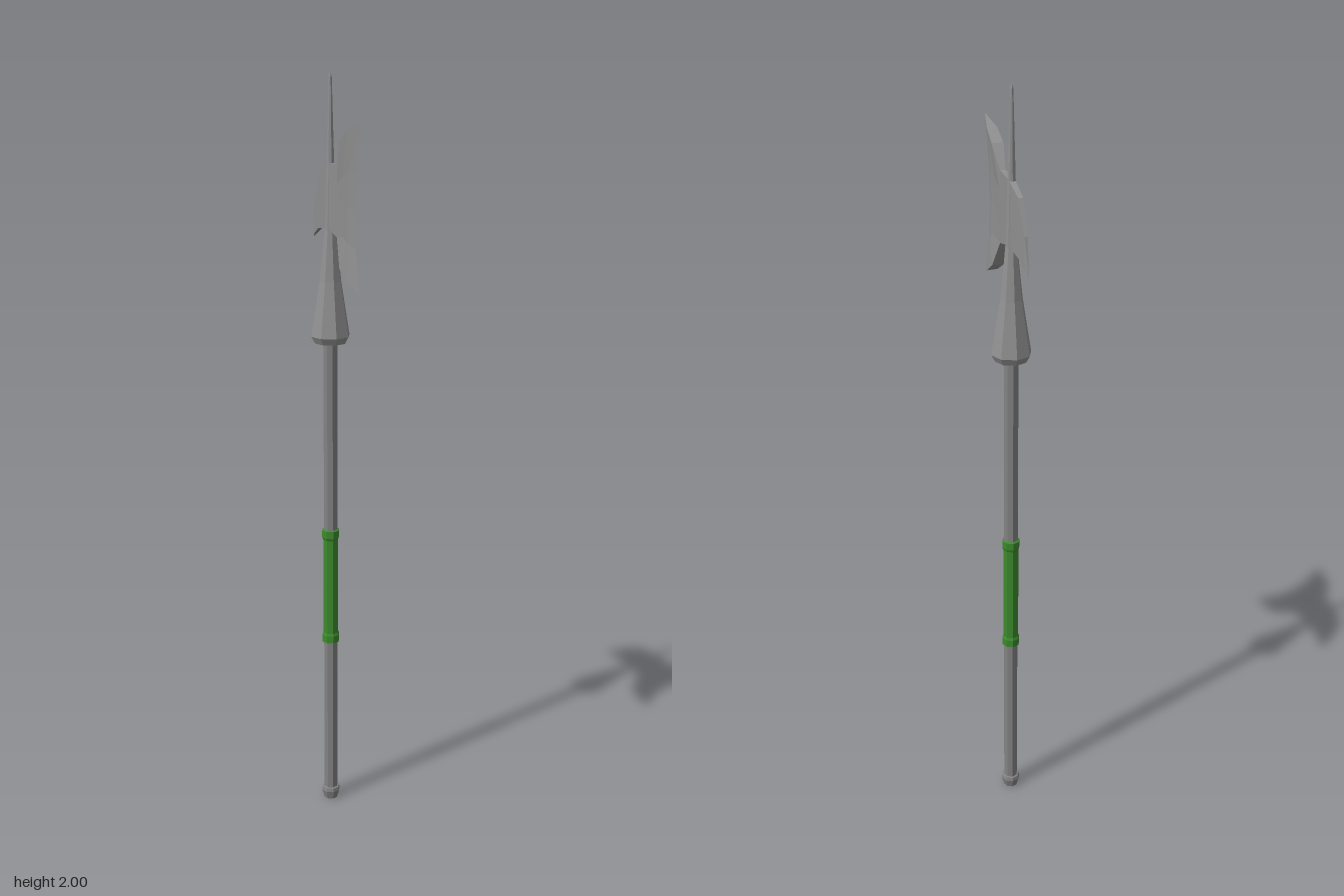
import * as THREE from 'three';

const AXIS_Z = -0.045;

// Eight-sided turned part from [radius, height] points, bottom to top
function turned(name, points, material) {
  const profile = points.map(([r, y]) => new THREE.Vector2(r, y));
  const mesh = new THREE.Mesh(new THREE.LatheGeometry(profile, 8), material);
  mesh.name = name;
  mesh.position.z = AXIS_Z;
  return mesh;
}

// Axe head: columns run from cutting edge to rear beak, rows from top to bottom.
// Each point is [z, y, half thickness].
function axeHeadGeometry() {
  const columns = [
    [[0.19, 1.885, 0], [0.157, 1.77, 0], [0.147, 1.68, 0], [0.157, 1.585, 0], [0.19, 1.48, 0]],
    [[0.125, 1.862, 0.013], [0.115, 1.76, 0.007], [0.11, 1.68, 0.006], [0.115, 1.595, 0.007], [0.125, 1.503, 0.013]],
    [[0.075, 1.835, 0.015], [0.075, 1.75, 0.007], [0.075, 1.68, 0.006], [0.075, 1.605, 0.007], [0.075, 1.53, 0.015]],
    [[0.03, 1.78, 0.007], [0.03, 1.73, 0.007], [0.03, 1.68, 0.007], [0.03, 1.64, 0.007], [0.03, 1.6, 0.007]],
    [[-0.045, 1.775, 0.008], [-0.045, 1.73, 0.008], [-0.045, 1.69, 0.008], [-0.045, 1.65, 0.008], [-0.045, 1.615, 0.008]],
    [[-0.12, 1.75, 0.006], [-0.123, 1.71, 0.006], [-0.126, 1.68, 0.006], [-0.128, 1.64, 0.006], [-0.13, 1.605, 0.006]],
    [[-0.165, 1.67, 0.004], [-0.166, 1.65, 0.004], [-0.167, 1.63, 0.004], [-0.168, 1.61, 0.004], [-0.168, 1.588, 0.004]],
    Array(5).fill([-0.19, 1.575, 0]),
  ];
  const positions = [];
  const at = (c, r, side) => {
    const [z, y, h] = columns[c][r];
    return [side * h, y, z];
  };
  const quad = (a, b, c, d) => positions.push(...a, ...b, ...c, ...a, ...c, ...d);
  const last = 4;
  for (let c = 0; c < columns.length - 1; c++) {
    for (let r = 0; r < last; r++) {
      quad(at(c, r, 1), at(c, r + 1, 1), at(c + 1, r + 1, 1), at(c + 1, r, 1));
      quad(at(c, r, -1), at(c + 1, r, -1), at(c + 1, r + 1, -1), at(c, r + 1, -1));
    }
    // Upper and lower rims
    quad(at(c, 0, 1), at(c + 1, 0, 1), at(c + 1, 0, -1), at(c, 0, -1));
    quad(at(c, last, 1), at(c, last, -1), at(c + 1, last, -1), at(c + 1, last, 1));
  }
  const geometry = new THREE.BufferGeometry();
  geometry.setAttribute('position', new THREE.Float32BufferAttribute(positions, 3));
  geometry.computeVertexNormals();
  return geometry;
}

export function createModel() {
  const make = (name, color) => {
    const material = new THREE.MeshStandardMaterial({ color, flatShading: true });
    material.name = name;
    return material;
  };
  const steel = make('steel', 0x909090);
  const shaftGrey = make('shaft grey', 0x828282);
  const green = make('grip green', 0x3c8a2c);

  const model = new THREE.Group();
  model.name = 'halberd';

  const axeHead = new THREE.Mesh(axeHeadGeometry(), steel);
  axeHead.name = 'axeHead';

  model.add(
    turned('pommel', [[0, 0], [0.019, 0], [0.026, 0.024], [0.024, 0.034], [0.018, 0.036]], shaftGrey),
    turned('shaft', [[0.019, 0.03], [0.019, 1.34]], shaftGrey),
    // Wrapped grip with a raised collar at each end
    turned('grip', [
      [0.018, 0.48], [0.024, 0.483], [0.024, 0.503], [0.021, 0.51],
      [0.021, 0.78], [0.024, 0.787], [0.024, 0.807], [0.018, 0.81],
    ], green),
    // Flared socket
    turned('socket', [[0.018, 1.318], [0.042, 1.32], [0.052, 1.338], [0.029, 1.48], [0.015, 1.61]], steel),
    turned('spike', [[0.015, 1.61], [0.011, 1.75], [0.004, 1.985], [0, 2]], steel),
    axeHead,
  );
  return model;
}
